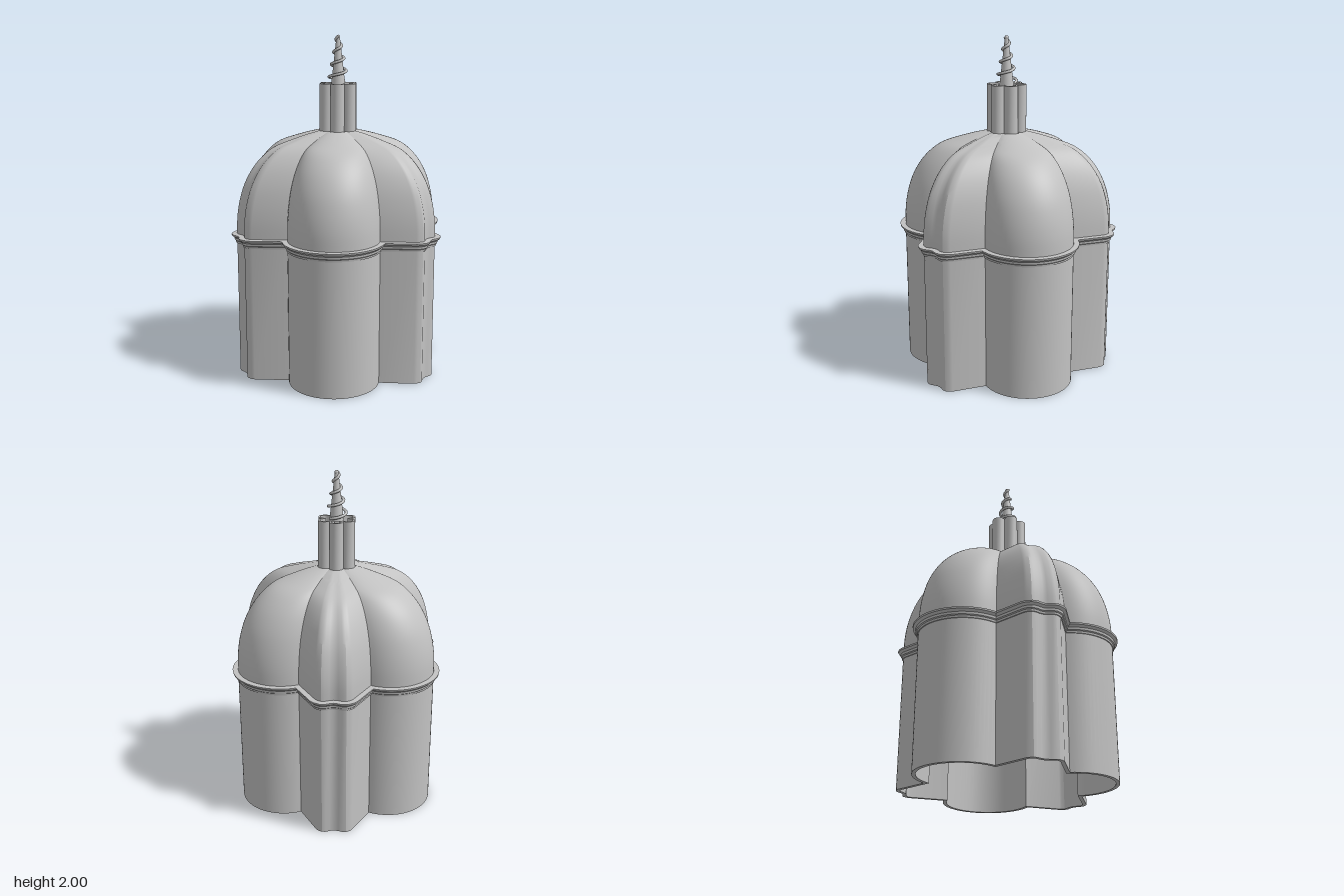
import * as THREE from 'three';
import { toCreasedNormals } from 'three/addons/utils/BufferGeometryUtils.js';

const stone = new THREE.MeshStandardMaterial({ color: 0xc2c2c2 });
stone.name = 'stone grey';

// Turn a plan point (t sideways, r outward) about the vertical axis
const turn = (t, r, a) => [
  t * Math.cos(a) + r * Math.sin(a),
  -t * Math.sin(a) + r * Math.cos(a),
];

// Round lobe centred at distance c, swept by +-half radians
function lobe(c, radius, half, steps, a, out) {
  for (let i = 0; i <= steps; i++) {
    const f = half * (2 * i / steps - 1);
    out.push(turn(radius * Math.sin(f), c + radius * Math.cos(f), a));
  }
}

// Three round apses alternating with three hollow-faced piers
function buildingPlan() {
  const plan = [];
  const pier = [[0.105, 0.603], [0.092, 0.616], [0.07, 0.628], [0.05, 0.628], [0.025, 0.618]];
  const face = [...pier.map(([t, r]) => [-t, r]), [0, 0.613], ...pier.slice().reverse()];
  for (let k = 0; k < 3; k++) {
    const a = k * 2 * Math.PI / 3;
    lobe(0.365, 0.2662, 1.476, 32, a, plan);
    face.forEach(([t, r]) => plan.push(turn(t, r, a + Math.PI / 3)));
  }
  return plan;
}

// Six-lobed plan of the lantern
function lanternPlan() {
  const plan = [];
  for (let k = 0; k < 6; k++) {
    lobe(0.078, 0.04, 1.79, 12, k * Math.PI / 3, plan);
    plan.pop(); // shared valley point
  }
  return plan;
}

// Mitred outward directions of a plan
function mitres(plan) {
  const n = plan.length;
  const normal = (p, q) => {
    const dx = q[0] - p[0], dz = q[1] - p[1], l = Math.hypot(dx, dz);
    return [-dz / l, dx / l];
  };
  return plan.map((p, i) => {
    const a = normal(plan[(i + n - 1) % n], p), b = normal(p, plan[(i + 1) % n]);
    const d = Math.max(0.7, 1 + a[0] * b[0] + a[1] * b[1]);
    return [(a[0] + b[0]) / d, (a[1] + b[1]) / d];
  });
}

// Sweep a closed section of [offset, y, scale] around a plan
function sweep(plan, section, crease = 0.45) {
  const dirs = mitres(plan), n = plan.length, m = section.length;
  const pos = [], index = [];
  section.forEach(([off, y, s = 1]) => plan.forEach((p, i) =>
    pos.push((p[0] + dirs[i][0] * off) * s, y, (p[1] + dirs[i][1] * off) * s)));
  for (let j = 0; j < m; j++) {
    for (let i = 0; i < n; i++) {
      const i2 = (i + 1) % n, j2 = (j + 1) % m;
      const a = j * n + i, b = j * n + i2, c = j2 * n + i2, d = j2 * n + i;
      index.push(a, b, c, a, c, d);
    }
  }
  const g = new THREE.BufferGeometry();
  g.setAttribute('position', new THREE.Float32BufferAttribute(pos, 3));
  g.setIndex(index);
  return toCreasedNormals(g, crease);
}

export function createModel() {
  const model = new THREE.Group();
  model.name = 'domedChapel';
  const add = (name, geometry, parent = model) => {
    const mesh = new THREE.Mesh(geometry, stone);
    mesh.name = name;
    parent.add(mesh);
    return mesh;
  };
  const plan = buildingPlan();

  // Hollow walls, open below
  add('walls', sweep(plan, [[0, 0], [0, 0.85], [-0.022, 0.85], [-0.022, 0]]));

  // Stepped cornice
  add('cornice', sweep(plan, [
    [-0.01, 0.803], [0.006, 0.803], [0.008, 0.815], [0.014, 0.82], [0.016, 0.834],
    [0.03, 0.846], [0.032, 0.856], [-0.01, 0.858],
  ]));

  // Dome shell: the plan shrinks along a curved profile, then returns inside
  const curve = new THREE.SplineCurve([
    [1, 0.85], [0.995, 0.95], [0.97, 1.05], [0.92, 1.15], [0.84, 1.24],
    [0.74, 1.31], [0.63, 1.358], [0.48, 1.392], [0.33, 1.42], [0.19, 1.442],
  ].map(([s, y]) => new THREE.Vector2(s, y)));
  const outer = curve.getPoints(36);
  const shell = outer.map((p) => [0, p.y, p.x]);
  outer.slice().reverse().forEach((p) => shell.push([-0.022, p.y - 0.02 * (1 - p.x), p.x]));
  add('dome', sweep(plan, shell));

  // Lantern: open six-lobed tube with a pilaster inside each lobe
  add('lantern', sweep(lanternPlan(), [[0, 1.425], [0, 1.72], [-0.012, 1.72], [-0.012, 1.425]]));
  const pilasters = new THREE.Group();
  pilasters.name = 'lanternPilasters';
  model.add(pilasters);
  for (let k = 0; k < 6; k++) {
    const a = k * Math.PI / 3;
    const post = add('pilaster', new THREE.BoxGeometry(0.028, 0.27, 0.028), pilasters);
    post.position.set(0.095 * Math.sin(a), 1.565, 0.095 * Math.cos(a));
    post.rotation.y = a;
  }

  // Spire core
  const core = add('spireCore', new THREE.CylinderGeometry(0.01, 0.042, 0.28, 24));
  core.position.y = 1.85;

  // Ramp winding up the spire
  const points = [];
  for (let i = 0; i <= 72; i++) {
    const f = i / 72, a = 2.5 + f * 3.6 * 2 * Math.PI, r = 0.06 - 0.05 * f;
    points.push(new THREE.Vector3(r * Math.sin(a), 1.73 + 0.262 * f, r * Math.cos(a)));
  }
  add('spiralRamp', new THREE.TubeGeometry(new THREE.CatmullRomCurve3(points), 160, 0.0085, 8));
  add('spireTip', new THREE.SphereGeometry(0.012, 12, 8)).position.set(0, 1.988, 0);

  return model;
}
